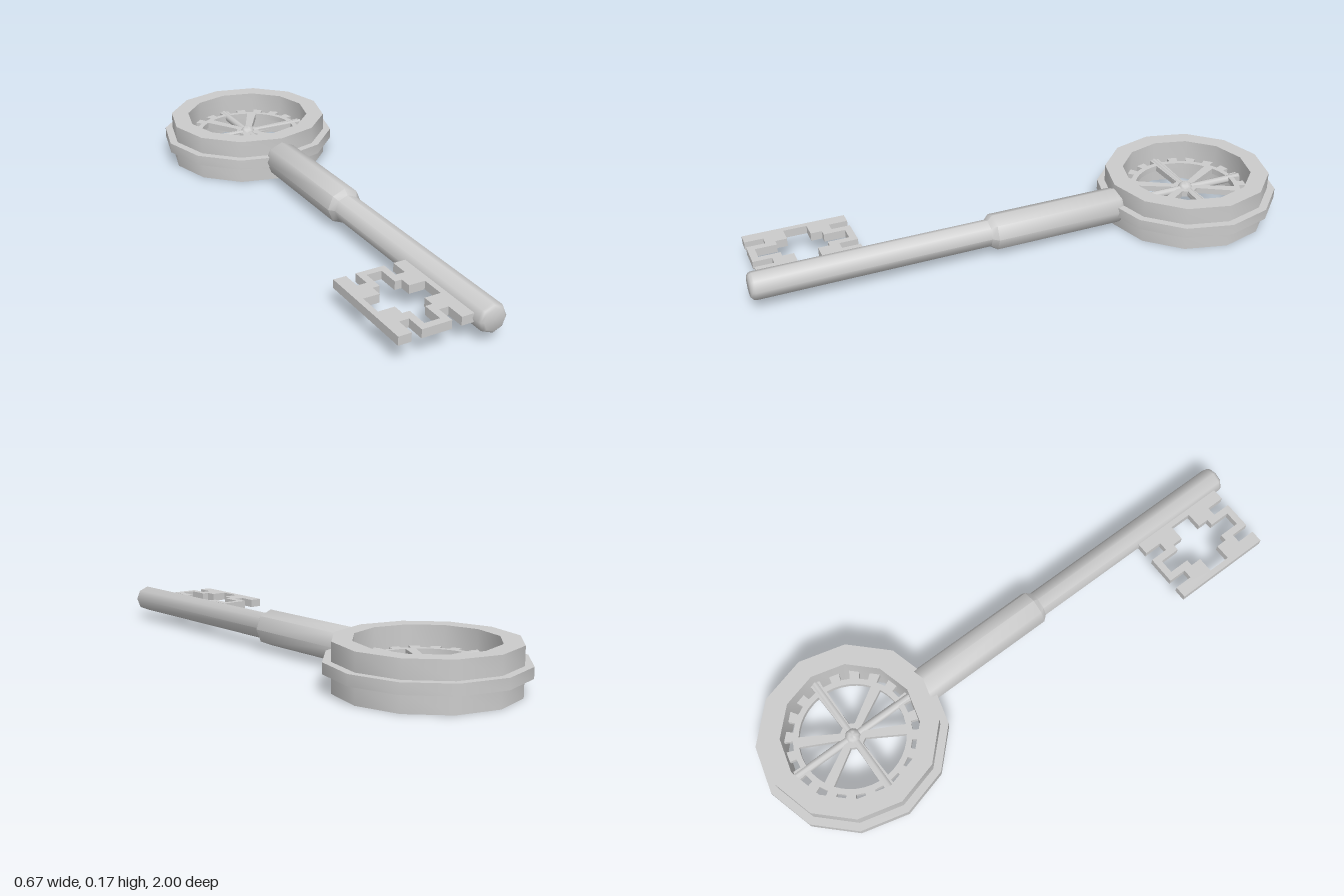
import * as THREE from 'three';
import { toCreasedNormals } from 'three/addons/utils/BufferGeometryUtils.js';

const MID = 0.083;      // height of the key's centre plane
const BOW_Z = -0.664;   // centre of the round bow

export function createModel() {
  const key = new THREE.Group();
  key.name = 'key';
  const material = new THREE.MeshStandardMaterial({ color: 0xcccccc });

  const add = (name, geometry, z = 0, crease = 0.9) => {
    const mesh = new THREE.Mesh(toCreasedNormals(geometry, crease), material);
    mesh.name = name;
    mesh.position.set(0, MID, z);
    key.add(mesh);
    return mesh;
  };
  const lathe = (points, sides) =>
    new THREE.LatheGeometry(points.map(([r, y]) => new THREE.Vector2(r, y)), sides);
  const polar = (r, a) => new THREE.Vector2(r * Math.cos(a), r * Math.sin(a));
  // flat plate lying in the xz plane, centred on its thickness
  const plate = (outline, holes, depth) => {
    const shape = new THREE.Shape(outline);
    shape.holes = holes.map((h) => new THREE.Path(h));
    return new THREE.ExtrudeGeometry(shape, { depth, bevelEnabled: false })
      .translate(0, 0, -depth / 2).rotateX(Math.PI / 2);
  };

  // twelve-sided bow with a raised band around its middle
  const h = 0.083, b = 0.019;
  add('bowRing', lathe([
    [0.24, -h], [0.307, -h], [0.307, -b], [0.336, -b],
    [0.336, b], [0.307, b], [0.307, h], [0.24, h], [0.24, -h],
  ], 12), BOW_Z, 0.7);

  // toothed wheel with six spokes inside the bow
  const teeth = 20, spokes = 6, rim = [], windows = [];
  for (let i = 0; i < teeth; i++) {
    const a = (i / teeth) * Math.PI * 2, half = Math.PI / teeth / 2;
    rim.push(polar(0.208, a - half), polar(0.242, a - half),
      polar(0.242, a + half), polar(0.208, a + half));
  }
  for (let i = 0; i < spokes; i++) {
    const start = (i / spokes) * Math.PI * 2, end = start + (Math.PI * 2) / spokes;
    const inner = 0.013 / 0.045, outer = 0.018 / 0.188;
    const hole = [polar(0.045, end - inner), polar(0.045, start + inner)];
    for (let k = 0; k <= 6; k++) {
      hole.push(polar(0.188, THREE.MathUtils.lerp(start + outer, end - outer, k / 6)));
    }
    windows.push(hole);
  }
  add('gearWheel', plate(rim, windows, 0.022), BOW_Z, 0.4);

  // crossed rods and the round hub
  for (const turn of [0, Math.PI / 2]) {
    const rod = new THREE.CylinderGeometry(0.015, 0.015, 0.49, 8).rotateX(Math.PI / 2);
    add('crossRod', rod.rotateY(turn), BOW_Z);
  }
  add('hub', new THREE.SphereGeometry(0.029, 12, 8), BOW_Z);

  // octagonal shaft: thick collar, then the thinner stem with a rounded tip
  add('shaft', lathe([
    [0, -0.37], [0.06, -0.37], [0.067, -0.355], [0.067, 0.13], [0.05, 0.15],
    [0.05, 0.985], [0.046, 0.994], [0.038, 1], [0, 1],
  ], 8).rotateX(Math.PI / 2));

  // bit: one quarter of each outline is mirrored into all four corners
  const mirror4 = (quarter) => {
    const flipped = [...quarter].reverse();
    return [
      ...quarter, ...flipped.map(([x, y]) => [-x, y]),
      ...quarter.map(([x, y]) => [-x, -y]), ...flipped.map(([x, y]) => [x, -y]),
    ].map(([x, y]) => new THREE.Vector2(x, y));
  };
  const outline = mirror4([[0.131, 0.185], [0.086, 0.185], [0.086, 0.118], [0.052, 0.118], [0.052, 0.185]]);
  const opening = mirror4([[0.11, 0.042], [0.052, 0.042], [0.052, 0.083], [0.027, 0.083], [0.027, 0.16]]);
  const bit = add('bit', plate(outline, [opening], 0.03), 0.775, 0.4);
  bit.position.x = -0.174;

  return key;
}
